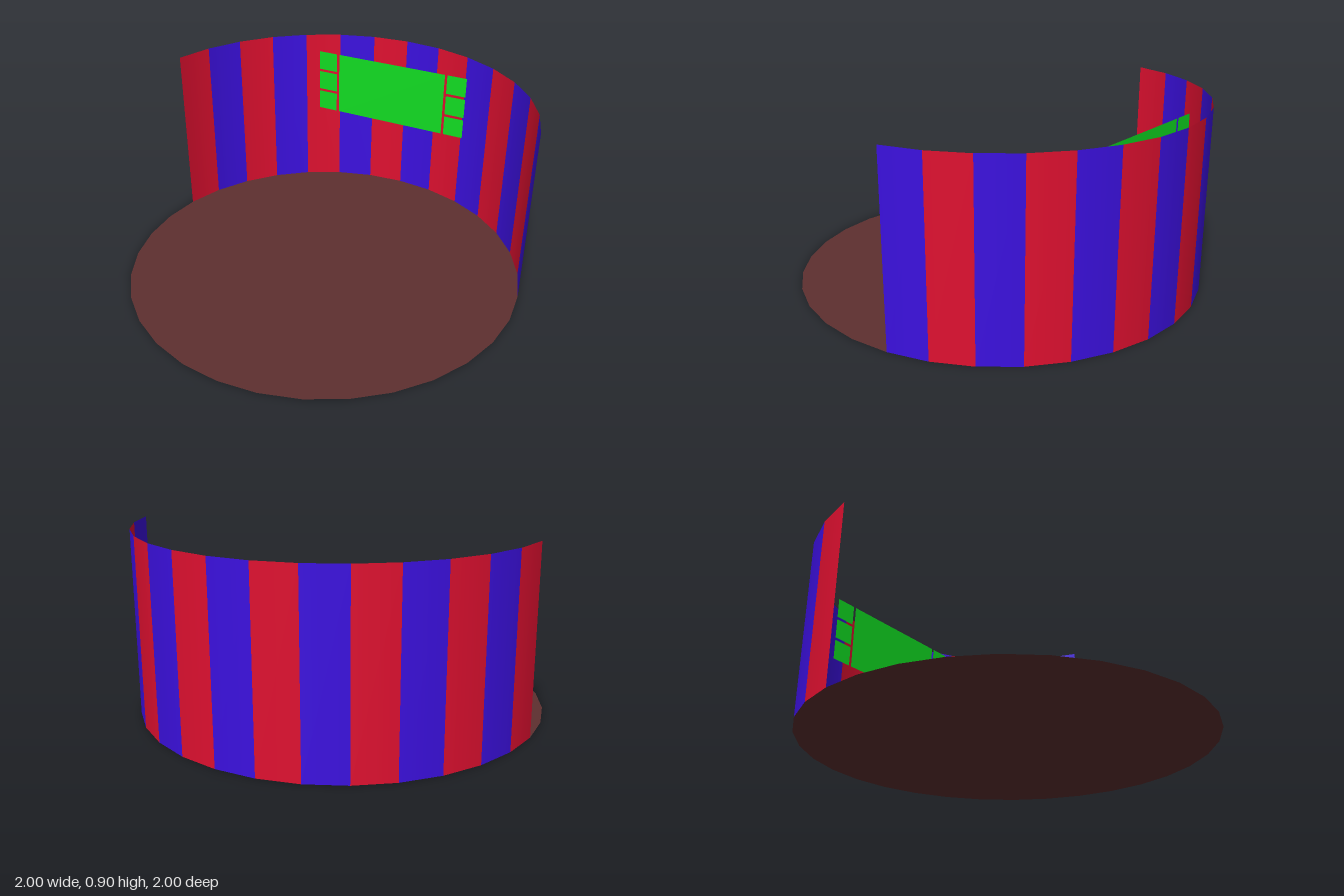
import * as THREE from 'three';

const mat = (name, color) => {
  const m = new THREE.MeshStandardMaterial({ color, side: THREE.DoubleSide });
  m.name = name;
  return m;
};

export function createModel() {
  const red = mat('red', 0xe01030);
  const blue = mat('blue', 0x3c10e0);
  const green = mat('green', 0x11dd22);
  const brown = mat('brown', 0x5e3030);

  const model = new THREE.Group();
  model.name = 'stage';
  const add = (parent, name, geometry, material) => {
    const mesh = new THREE.Mesh(geometry, material);
    mesh.name = name;
    parent.add(mesh);
    return mesh;
  };

  // Round floor, a single 32-sided sheet
  const sides = 32;
  add(model, 'floor', new THREE.CircleGeometry(1, sides).rotateX(-Math.PI / 2), brown);

  // Striped curtain wall: 14 sheet panels around the back
  const wall = new THREE.Group();
  wall.name = 'curtainWall';
  model.add(wall);
  const step = (Math.PI * 2) / sides;
  const height = 0.9;
  for (let i = 0; i < 14; i++) {
    const panel = new THREE.CylinderGeometry(1, 1, height, 1, 1, true, (9 + i) * step, step);
    panel.translate(0, height / 2, 0);
    add(wall, 'curtainPanel', panel, i % 2 ? red : blue);
  }

  // Flat screens hanging in front of the wall
  const screens = new THREE.Group();
  screens.name = 'screens';
  screens.position.z = -0.78;
  model.add(screens);
  const screen = (name, x, y, w, h) =>
    add(screens, name, new THREE.PlaneGeometry(w, h), green).position.set(x, y, 0);
  screen('mainScreen', -0.002, 0.665, 0.63, 0.346);
  for (const x of [-0.386, 0.381]) {
    for (let row = 0; row < 3; row++) screen('sideScreen', x, 0.545 + row * 0.12, 0.109, 0.106);
  }

  return model;
}
